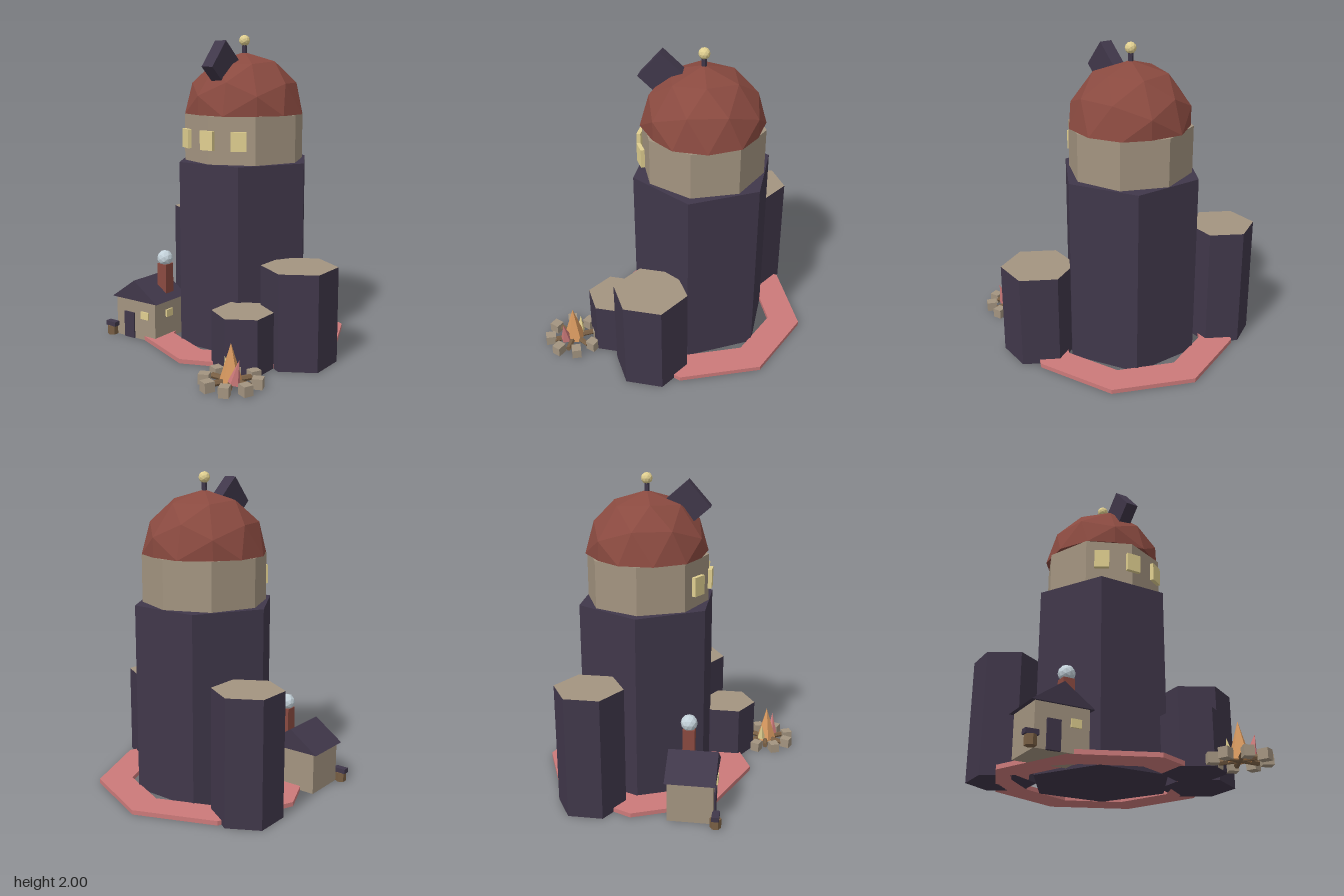
import * as THREE from 'three';

const mat = (color) => new THREE.MeshStandardMaterial({ color, flatShading: true });
const stone = mat(0x40374a), sand = mat(0xa39480), brick = mat(0x8a4a40), rose = mat(0xcc7a7a);
const glow = mat(0xe0cf90), wood = mat(0x7a6045), orange = mat(0xd99a60), smokeMat = mat(0xc4d2da);

export function createModel() {
  const model = new THREE.Group();
  const CX = -0.005, CZ = -0.14; // tower axis

  const add = (name, geometry, material, x, y, z, parent = model) => {
    const mesh = new THREE.Mesh(geometry, material);
    mesh.name = name;
    mesh.position.set(x, y, z);
    parent.add(mesh);
    return mesh;
  };
  const box = (w, h, d) => new THREE.BoxGeometry(w, h, d);
  const prism = (r, h, sides) => new THREE.CylinderGeometry(r, r, h, sides);
  const group = (name, x, z) => {
    const g = new THREE.Group();
    g.name = name;
    g.position.set(x, 0, z);
    model.add(g);
    return g;
  };

  // Octagonal path around the tower
  const octagon = (r) => Array.from({ length: 8 }, (_, i) =>
    new THREE.Vector2(r * Math.cos(i * Math.PI / 4), r * Math.sin(i * Math.PI / 4)));
  const ring = new THREE.Shape(octagon(0.692));
  ring.holes.push(new THREE.Path(octagon(0.48)));
  const ringGeo = new THREE.ExtrudeGeometry(ring, { depth: 0.028, bevelEnabled: false });
  add('path', ringGeo.rotateX(-Math.PI / 2), rose, CX, 0, CZ);

  // Main column and the smaller columns with pale tops
  add('mainColumn', prism(0.455, 1.2, 6).rotateY(Math.PI / 6), stone, CX, 0.6, CZ);
  for (const [x, z, r, h] of [
    [-0.548, -0.413, 0.217, 0.785],
    [0.558, 0.076, 0.237, 0.6],
    [0.34, 0.36, 0.195, 0.35],
  ]) add('sideColumn', prism(r, h, 6), [stone, sand, stone], x, h / 2, z);

  // Drum with three windows
  add('drum', prism(0.39, 0.3, 8), sand, CX, 1.35, CZ);
  for (const a of [-Math.PI / 6, 0, Math.PI / 6]) {
    add('drumWindow', box(0.095, 0.12, 0.025), glow,
      CX + 0.402 * Math.sin(a), 1.35, CZ + 0.402 * Math.cos(a)).rotation.y = a;
  }

  // Faceted dome: a sphere flattened below its equator
  const domeGeo = new THREE.IcosahedronGeometry(0.39, 1).rotateY(0.26);
  const p = domeGeo.attributes.position;
  for (let i = 0; i < p.count; i++) p.setY(i, Math.max(0, p.getY(i)));
  domeGeo.computeVertexNormals();
  add('dome', domeGeo, brick, CX, 1.5, CZ);

  // Telescope and finial
  add('telescope', box(0.083, 0.213, 0.185), stone, CX, 1.82, 0.12).rotation.x = -0.72;
  add('finialStem', prism(0.016, 0.08, 6), stone, CX, 1.91, CZ);
  add('finialBall', new THREE.IcosahedronGeometry(0.036, 1), glow, CX, 1.964, CZ);

  // Cottage
  const house = group('cottage', -0.53, 0.225);
  add('walls', box(0.335, 0.27, 0.28), sand, 0, 0.135, 0, house);
  const gable = new THREE.Shape([
    new THREE.Vector2(-0.193, 0), new THREE.Vector2(0.193, 0), new THREE.Vector2(0, 0.135)]);
  const roofGeo = new THREE.ExtrudeGeometry(gable, { depth: 0.31, bevelEnabled: false });
  add('roof', roofGeo, stone, 0, 0.265, -0.155, house);
  add('door', box(0.085, 0.175, 0.02), stone, -0.053, 0.0875, 0.14, house);
  add('frontWindow', box(0.065, 0.05, 0.02), glow, 0.082, 0.17, 0.14, house);
  add('sideWindow', box(0.02, 0.05, 0.065), glow, 0.168, 0.175, 0, house);
  add('chimney', box(0.075, 0.24, 0.075), brick, 0.107, 0.375, -0.04, house);
  add('smoke', new THREE.IcosahedronGeometry(0.053, 1), smokeMat, 0.107, 0.532, -0.04, house);

  // Letter box
  const letterBox = group('letterBox', -0.725, 0.385);
  add('post', prism(0.035, 0.06, 6), wood, 0, 0.03, 0, letterBox);
  add('lid', box(0.082, 0.03, 0.045), stone, 0, 0.074, 0, letterBox);

  // Campfire: ring of stones, crossed logs, leaning flames
  const fire = group('campfire', 0.45, 0.642);
  for (let i = 0; i < 8; i++) {
    const a = (i + 0.5) * Math.PI / 4;
    add('fireStone', box(0.06, 0.062, 0.065), sand,
      0.158 * Math.sin(a), 0.031, 0.158 * Math.cos(a), fire).rotation.y = a;
  }
  for (let i = 0; i < 3; i++) {
    add('log', prism(0.018, 0.27, 6).rotateZ(Math.PI / 2), wood, 0, 0.03, 0, fire)
      .rotation.y = i * Math.PI / 3;
  }
  const flame = (material, r, h, x, y, z, lean) => {
    add('flame', new THREE.ConeGeometry(r, h, 5), material, x, y, z, fire).rotation.z = lean;
  };
  flame(orange, 0.072, 0.235, 0, 0.138, 0, 0);
  flame(rose, 0.038, 0.15, 0.068, 0.11, 0.04, -0.25);
  flame(glow, 0.028, 0.11, -0.055, 0.1, -0.03, 0.2);

  return model;
}
